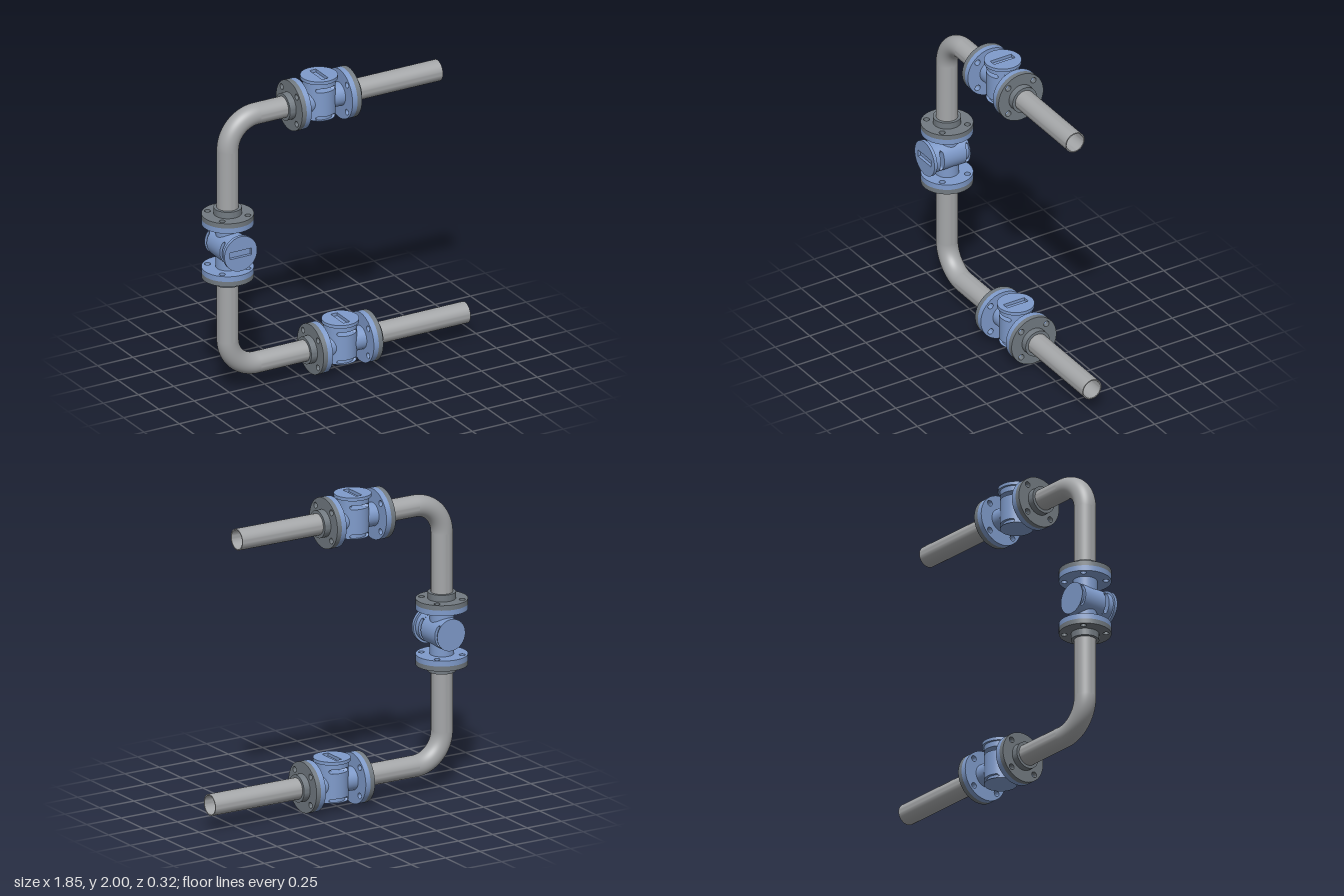
import * as THREE from 'three';
import { toCreasedNormals } from 'three/addons/utils/BufferGeometryUtils.js';

const PIPE_R = 0.068, BORE_R = 0.061, BEND_R = 0.2;
const LOW = 0.164, HIGH = 1.84, RISER_X = -0.762;
const BODY_R = 0.102;

function mat(name, color) {
  const m = new THREE.MeshStandardMaterial({ color, side: THREE.DoubleSide });
  m.name = name;
  return m;
}

function add(parent, name, geometry, material) {
  const mesh = new THREE.Mesh(geometry, material);
  mesh.name = name;
  parent.add(mesh);
  return mesh;
}

function circlePath(Type, r, x = 0, y = 0) {
  return new Type().absarc(x, y, r, 0, Math.PI * 2, false);
}

function extrude(shape, depth) {
  const g = new THREE.ExtrudeGeometry(shape, { depth, bevelEnabled: false, curveSegments: 32 });
  return toCreasedNormals(g, 0.6);
}

// Disc along +x from x0 to x1 with a central bore and optional bolt holes
function ringAlongX(r, x0, x1, bolts) {
  const shape = circlePath(THREE.Shape, r);
  shape.holes.push(circlePath(THREE.Path, BORE_R));
  if (bolts) {
    for (const sx of [-1, 1]) for (const sy of [-1, 1]) {
      shape.holes.push(circlePath(THREE.Path, 0.019, sx * 0.091, sy * 0.091));
    }
  }
  return extrude(shape, x1 - x0).rotateY(Math.PI / 2).translate(x0, 0, 0);
}

// Cylindrical band with a rounded slot cut into its front and back
function slottedBand(innerR) {
  const H = 0.015, r = 0.013, w = 0.069, N = 144, pos = [];
  const slot = (a) => {
    const d = Math.abs(BODY_R * Math.sin(a)) - (w - r);
    return d <= 0 ? r : d < r ? Math.sqrt(r * r - d * d) : 0;
  };
  const p = (R, a, y) => [R * Math.sin(a), y, R * Math.cos(a)];
  const quad = (a, b, c, d) => pos.push(...a, ...b, ...c, ...a, ...c, ...d);
  for (let i = 0; i < N; i++) {
    const a = (i / N) * Math.PI * 2, b = ((i + 1) / N) * Math.PI * 2;
    const ha = slot(a), hb = slot(b);
    for (const R of [BODY_R, innerR]) {
      quad(p(R, a, -H), p(R, b, -H), p(R, b, -hb), p(R, a, -ha));
      quad(p(R, a, ha), p(R, b, hb), p(R, b, H), p(R, a, H));
    }
    if (ha + hb > 0) {
      for (const s of [-1, 1]) {
        quad(p(BODY_R, a, s * ha), p(BODY_R, b, s * hb), p(innerR, b, s * hb), p(innerR, a, s * ha));
      }
    }
  }
  const g = new THREE.BufferGeometry();
  g.setAttribute('position', new THREE.Float32BufferAttribute(pos, 3));
  return toCreasedNormals(g, 0.5);
}

function cylinder(r, y0, y1) {
  return new THREE.CylinderGeometry(r, r, y1 - y0, 64).translate(0, (y0 + y1) / 2, 0);
}

// Valve with flow along x and its cap facing +y
function makeValve(name, blue, grey) {
  const valve = new THREE.Group();
  valve.name = name;

  add(valve, 'valveBody', cylinder(BODY_R, -0.079, 0.079), blue);
  add(valve, 'valveBodyTop', cylinder(BODY_R, 0.109, 0.142), blue);
  add(valve, 'throughSlotBand', slottedBand(0.04), blue).position.y = 0.094;
  add(valve, 'lowerSlotBand', slottedBand(0.085), blue).position.y = -0.094;
  add(valve, 'lowerSlotCore', cylinder(0.085, -0.108, -0.079), blue);
  add(valve, 'valveBase', new THREE.CircleGeometry(BODY_R, 64).rotateX(Math.PI / 2), blue).position.y = -0.109;

  // Cap with a driver slot across the flow
  const cap = circlePath(THREE.Shape, 0.116);
  const w = 0.0225, l = 0.0765;
  cap.holes.push(new THREE.Path([[-w, -l], [-w, l], [w, l], [w, -l]].map(([x, y]) => new THREE.Vector2(x, y))));
  add(valve, 'valveCap', extrude(cap, 0.021).rotateX(-Math.PI / 2).translate(0, 0.141, 0), blue);

  // Necks and bolted flange pairs on both sides
  add(valve, 'valveNeck', new THREE.CylinderGeometry(0.075, 0.075, 0.3, 64, 1, true).rotateZ(Math.PI / 2), blue);
  for (const s of [0, Math.PI]) {
    const side = new THREE.Group();
    side.name = s ? 'inletFlanges' : 'outletFlanges';
    side.rotation.y = s;
    add(side, 'valveFlange', ringAlongX(0.162, 0.145, 0.18, true), blue);
    add(side, 'pipeFlange', ringAlongX(0.162, 0.18, 0.212, true), grey);
    add(side, 'flangeHub', ringAlongX(0.087, 0.212, 0.255, false), grey);
    valve.add(side);
  }
  return valve;
}

// Hollow straight pipe from the origin along +y
function straightPipe(length) {
  const pts = [[BORE_R, 0], [PIPE_R, 0], [PIPE_R, length], [BORE_R, length], [BORE_R, 0]];
  const g = new THREE.LatheGeometry(pts.map(([x, y]) => new THREE.Vector2(x, y)), 48);
  return toCreasedNormals(g, 0.6);
}

export function createModel() {
  const model = new THREE.Group();
  model.name = 'pipeLoop';
  const blue = mat('valveBlue', 0x7f9bcb);
  const grey = mat('flangeGrey', 0x727a81);
  const steel = mat('pipeGrey', 0xa4a6a8);

  // Straight pipe runs
  const startX = RISER_X + BEND_R;
  for (const [name, y, endX] of [['lowerPipe', LOW, 0.923], ['upperPipe', HIGH, 0.727]]) {
    const pipe = add(model, name, straightPipe(endX - startX).rotateZ(-Math.PI / 2), steel);
    pipe.position.set(startX, y, 0);
  }
  const riser = add(model, 'riserPipe', straightPipe(HIGH - LOW - 2 * BEND_R), steel);
  riser.position.set(RISER_X, LOW + BEND_R, 0);

  // Quarter bends, outer and inner walls
  for (const [name, y, turn] of [['lowerBend', LOW + BEND_R, Math.PI], ['upperBend', HIGH - BEND_R, Math.PI / 2]]) {
    for (const [wall, r] of [['Outer', PIPE_R], ['Inner', BORE_R]]) {
      const bend = add(model, name + wall, new THREE.TorusGeometry(BEND_R, r, 48, 24, Math.PI / 2), steel);
      bend.position.set(startX, y, 0);
      bend.rotation.z = turn;
    }
  }

  // Three valves; the riser valve faces its cap forward
  const lower = makeValve('lowerValve', blue, grey);
  lower.position.set(0.037, LOW, 0);
  const upper = makeValve('upperValve', blue, grey);
  upper.position.set(-0.114, HIGH, 0);
  const middle = makeValve('riserValve', blue, grey);
  middle.quaternion.setFromRotationMatrix(new THREE.Matrix4().makeBasis(
    new THREE.Vector3(0, 1, 0), new THREE.Vector3(0, 0, 1), new THREE.Vector3(1, 0, 0)));
  middle.position.set(RISER_X, (LOW + HIGH) / 2, 0);
  model.add(lower, upper, middle);
  return model;
}
